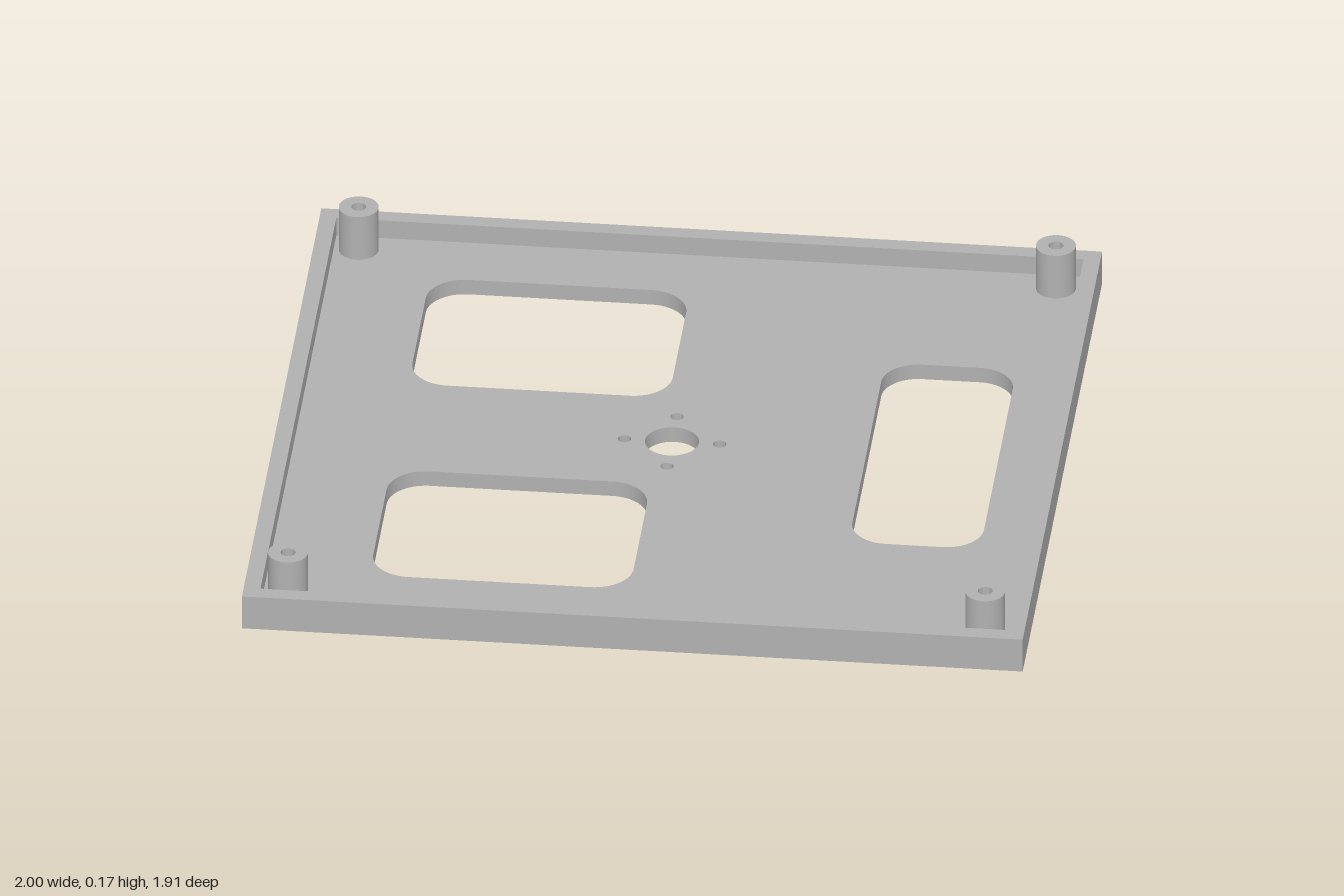
import * as THREE from 'three';
import { toCreasedNormals } from 'three/addons/utils/BufferGeometryUtils.js';

const W = 1, D = 0.955;          // half width and half depth
const WALL = 0.043, FLOOR = 0.043, RIM = 0.095, POST = 0.17;
const POST_X = 0.893, POST_Z = 0.85, POST_R = 0.051, SCREW_R = 0.019;

// Rounded (or sharp) rectangle outline
function rect(path, x0, y0, x1, y1, r = 0) {
  if (r === 0) {
    path.moveTo(x0, y0).lineTo(x1, y0).lineTo(x1, y1).lineTo(x0, y1).closePath();
    return path;
  }
  path.absarc(x1 - r, y0 + r, r, -Math.PI / 2, 0);
  path.absarc(x1 - r, y1 - r, r, 0, Math.PI / 2);
  path.absarc(x0 + r, y1 - r, r, Math.PI / 2, Math.PI);
  path.absarc(x0 + r, y0 + r, r, Math.PI, Math.PI * 1.5);
  path.closePath();
  return path;
}

const circle = (path, x, y, r) => path.absarc(x, y, r, 0, Math.PI * 2);

// Extrude a plan outline upward from y0 to y1
function slab(name, shape, y0, y1, material) {
  const extruded = new THREE.ExtrudeGeometry(shape, { depth: y1 - y0, bevelEnabled: false, curveSegments: 16 });
  extruded.rotateX(-Math.PI / 2).translate(0, y0, 0);
  const mesh = new THREE.Mesh(toCreasedNormals(extruded, 0.6), material);
  mesh.name = name;
  return mesh;
}

export function createModel() {
  const group = new THREE.Group();
  group.name = 'mountingTray';
  const grey = new THREE.MeshStandardMaterial({ color: 0xb0b0b0 });
  grey.name = 'grey';

  // Floor with its windows, centre bore and screw holes
  const floor = rect(new THREE.Shape(), -W, -D, W, D);
  const cut = (...args) => floor.holes.push(rect(new THREE.Path(), ...args));
  const drill = (...args) => floor.holes.push(circle(new THREE.Path(), ...args));
  cut(-0.698, 0.211, -0.031, 0.731, 0.1);
  cut(-0.698, -0.731, -0.031, -0.211, 0.1);
  cut(0.499, -0.441, 0.836, 0.441, 0.095);
  drill(0, 0, 0.069);
  for (const s of [-1, 1]) {
    drill(s * 0.122, 0, 0.017);
    drill(0, s * 0.122, 0.017);
    for (const t of [-1, 1]) drill(s * POST_X, t * POST_Z, SCREW_R);
  }
  group.add(slab('floor', floor, 0, FLOOR, grey));

  // Raised rim
  const rim = rect(new THREE.Shape(), -W, -D, W, D);
  rim.holes.push(rect(new THREE.Path(), -W + WALL, -D + WALL, W - WALL, D - WALL));
  group.add(slab('rim', rim, FLOOR, RIM, grey));

  // Hollow corner posts
  for (const s of [-1, 1]) for (const t of [-1, 1]) {
    const ring = circle(new THREE.Shape(), 0, 0, POST_R);
    ring.holes.push(circle(new THREE.Path(), 0, 0, SCREW_R));
    const post = slab((t > 0 ? 'front' : 'back') + (s > 0 ? 'Left' : 'Right') + 'Post', ring, FLOOR, POST, grey);
    post.position.set(s * POST_X, 0, t * POST_Z);
    group.add(post);
  }
  return group;
}
